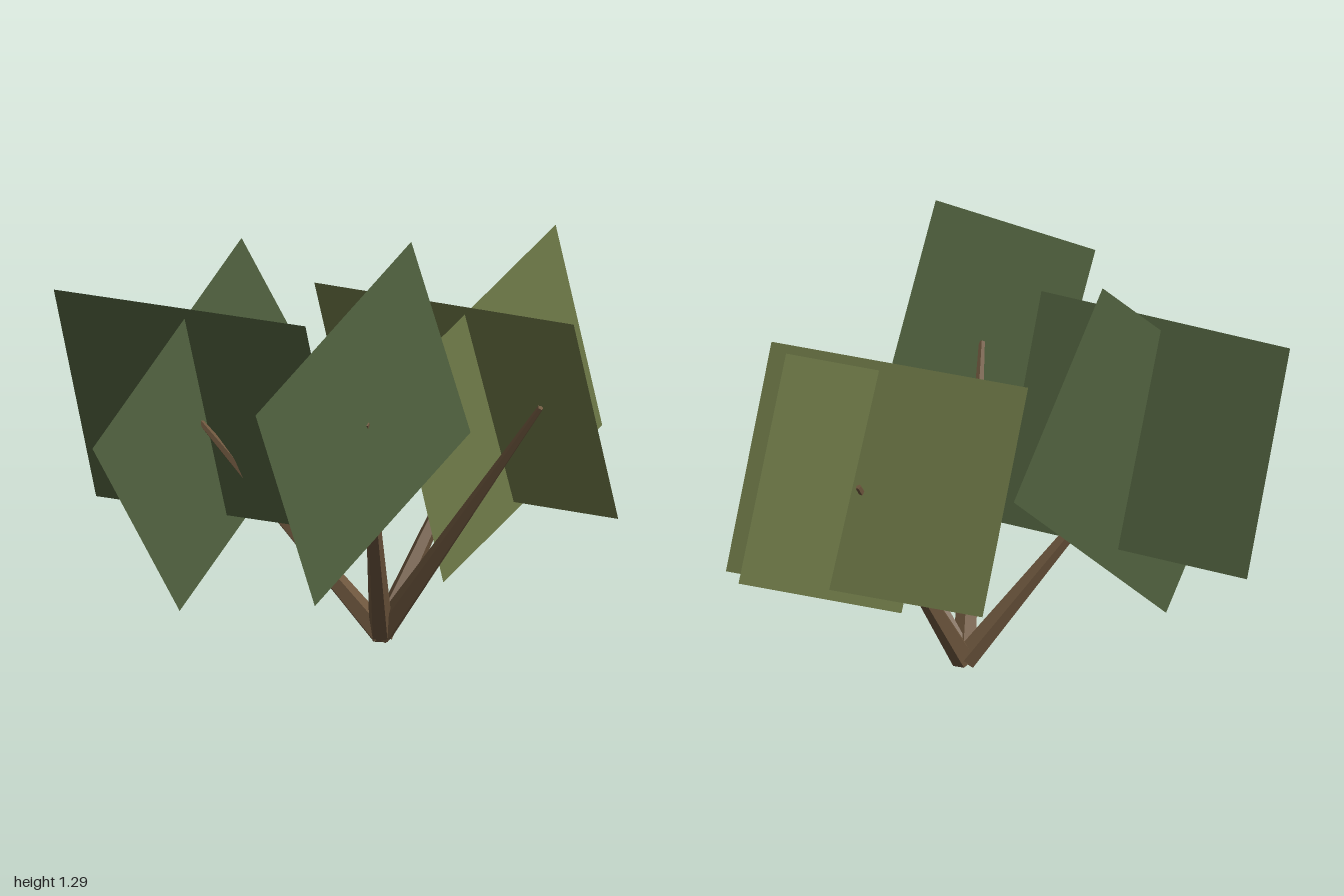
import * as THREE from 'three';

export function createModel() {
  const group = new THREE.Group();
  const material = (name, color) => {
    const m = new THREE.MeshStandardMaterial({ color, side: THREE.DoubleSide, flatShading: true });
    m.name = name;
    return m;
  };
  const bark = material('bark brown', 0x6e573e);
  const green = material('leaf green', 0x526340);
  const olive = material('leaf olive', 0x707b49);

  // Tapered five-sided branches spreading from one root
  const root = new THREE.Vector3(0.105, 0.02, -0.03);
  const up = new THREE.Vector3(0, 1, 0);
  const branches = {
    rightBranch: [0.71, 0.8, -0.03],
    frontRightBranch: [0.46, 0.805, 0.445],
    frontLeftBranch: [-0.27, 0.66, 0.33],
    backBranch: [0.14, 0.61, -0.445],
  };
  for (const [name, tip] of Object.entries(branches)) {
    const axis = new THREE.Vector3(...tip).sub(root);
    const geometry = new THREE.CylinderGeometry(0.009, 0.036, axis.length(), 5);
    const branch = new THREE.Mesh(geometry, bark);
    branch.name = name;
    branch.position.copy(root).addScaledVector(axis, 0.5);
    branch.quaternion.setFromUnitVectors(up, axis.normalize());
    group.add(branch);
  }

  // Flat rectangular leaf card: three consecutive corners, the fourth follows
  function leafCard(name, mat, a, b, c) {
    const d = a.map((v, i) => v + c[i] - b[i]);
    const geometry = new THREE.BufferGeometry();
    geometry.setAttribute('position', new THREE.Float32BufferAttribute([a, b, c, d].flat(), 3));
    geometry.setIndex([0, 1, 2, 0, 2, 3]);
    geometry.computeVertexNormals();
    const card = new THREE.Mesh(geometry, mat);
    card.name = name;
    group.add(card);
  }

  // Single card on the front right branch
  leafCard('frontRightLeaf', green, [0.52, 0.955, 1], [0.41, 1.285, 0.19], [0.41, 0.665, -0.07]);
  // Crossed pair on the front left branch
  leafCard('frontLeftLeafWide', green, [-0.715, 0.345, 0.27], [0.165, 0.375, 0.185], [0.16, 1.025, 0.365]);
  leafCard('frontLeftLeafCross', green, [-0.245, 0.685, 0.83], [-0.285, 1.16, 0.13], [-0.283, 0.6, -0.25]);
  // Crossed pair on the back branch
  leafCard('backLeafWide', olive, [-0.355, 0.315, -0.465], [0.52, 0.32, -0.59], [0.55, 0.95, -0.36]);
  leafCard('backLeafCross', olive, [0.105, 0.44, -1], [0.11, 1.08, -0.79], [0.225, 0.805, 0.04]);

  return group;
}
